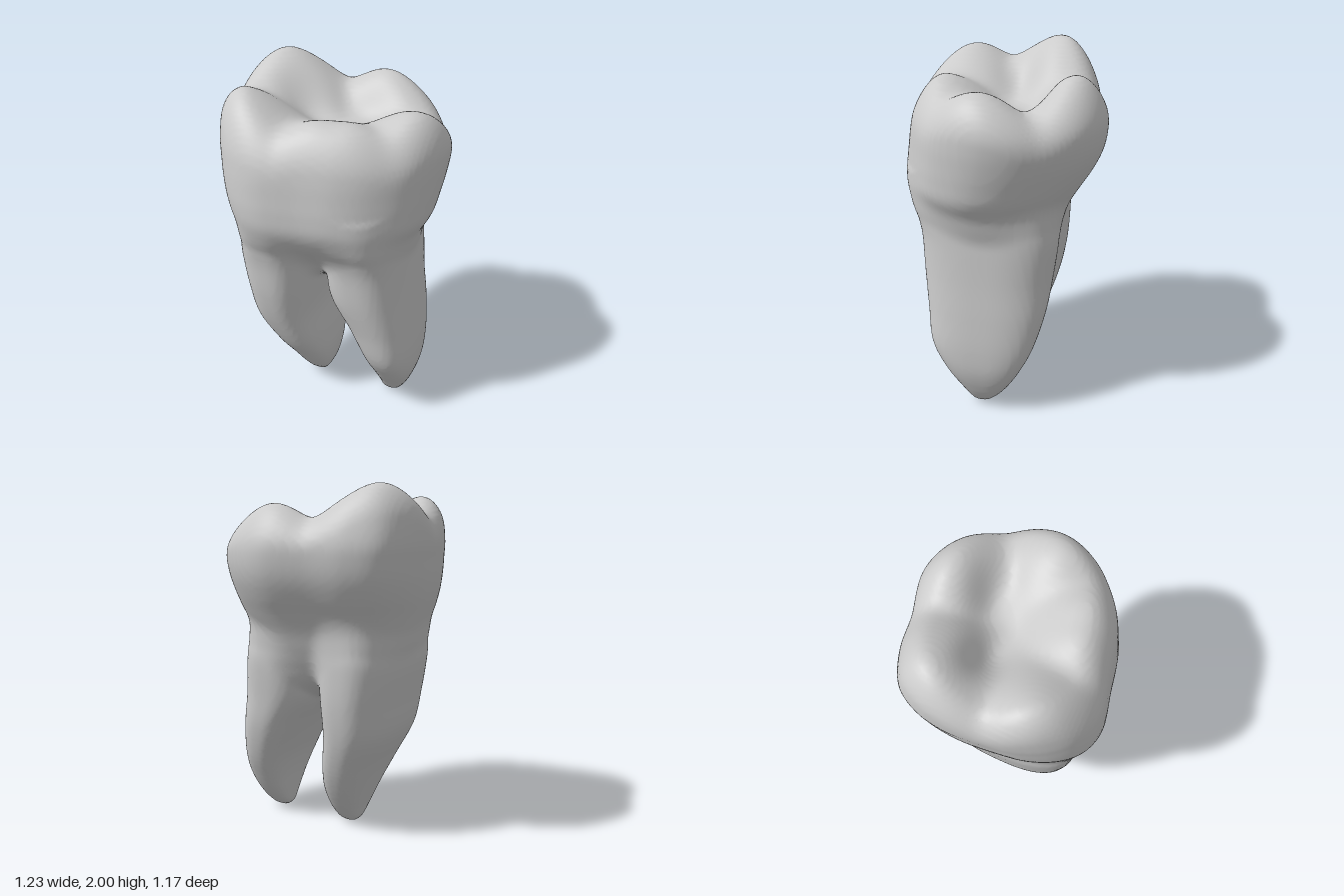
import * as THREE from 'three';

const { lerp, clamp } = THREE.MathUtils;

// Catmull-Rom interpolation between rows of numbers
function smoothRows(rows, steps) {
  const out = [];
  const at = (i) => rows[clamp(i, 0, rows.length - 1)];
  for (let k = 0; k <= (rows.length - 1) * steps; k++) {
    const i = Math.floor(k / steps), t = k / steps - i;
    out.push(at(i).map((p1, c) => {
      const p0 = at(i - 1)[c], p2 = at(i + 1)[c], p3 = at(i + 2)[c];
      return p1 + 0.5 * t * (p2 - p0 + t * (2 * p0 - 5 * p1 + 4 * p2 - p3 + t * (3 * (p1 - p2) + p3 - p0)));
    }));
  }
  return out;
}

// Rounded union and intersection of two distances
function smoothMin(a, b, k) {
  const h = Math.max(k - Math.abs(a - b), 0) / k;
  return Math.min(a, b) - (h * h * k) / 4;
}
const smoothMax = (a, b, k) => -smoothMin(-a, -b, k);

// Distance to a body stacked from rows [y, xMin, xMax, zMin, zMax];
// size(x, z) is 1 on the normalised outline of every row
function stackedBody(rows, size) {
  const fine = smoothRows(rows, 6), last = fine.length - 1;
  return (x, y, z) => {
    let i = 0;
    while (i < last - 1 && fine[i + 1][0] < y) i++;
    const a = fine[i], b = fine[i + 1];
    const t = clamp((y - a[0]) / (b[0] - a[0]), 0, 1);
    const [x0, x1, z0, z1] = [1, 2, 3, 4].map((c) => lerp(a[c], b[c], t));
    const dx = x - (x0 + x1) / 2, dz = z - (z0 + z1) / 2;
    const n = size(dx / Math.max((x1 - x0) / 2, 1e-3), dz / Math.max((z1 - z0) / 2, 1e-3));
    const side = Math.hypot(dx, dz) * (1 - 1 / Math.max(n, 0.05));
    return Math.max(side, fine[0][0] - y, y - fine[last][0]);
  };
}

// Root section: rounded oblong, hollowed on the side facing the other root
const rootSize = (inner) => (x, z) =>
  (Math.abs(x) ** 2.6 + Math.abs(z) ** 2.6) ** (1 / 2.6)
  + 0.08 * clamp(x * inner, 0, 1) ** 2 * Math.max(0, 1 - z * z * 1.6);

// Crown section: radius by angle from a smooth closed outline
function crownSize() {
  const points = [
    [0.61, 0], [0.58, 0.15], [0.5, 0.3], [0.35, 0.43], [0.2, 0.5], [0, 0.54], [-0.25, 0.58],
    [-0.4, 0.53], [-0.5, 0.43], [-0.57, 0.28], [-0.6, 0.1], [-0.61, -0.1], [-0.58, -0.27],
    [-0.5, -0.41], [-0.35, -0.49], [-0.15, -0.53], [0.1, -0.59], [0.25, -0.56], [0.4, -0.47],
    [0.52, -0.32], [0.59, -0.17],
  ].map(([x, z]) => new THREE.Vector3(x / 0.61, 0, z / 0.585));
  const N = 180, radii = new Array(N).fill(1);
  const turn = (x, z) => ((Math.atan2(z, x) / (2 * Math.PI) + 1) % 1) * N;
  for (const p of new THREE.CatmullRomCurve3(points, true).getPoints(3000)) {
    radii[Math.round(turn(p.x, p.z)) % N] = Math.hypot(p.x, p.z);
  }
  return (x, z) => {
    const a = turn(x, z), i = Math.floor(a) % N;
    return Math.hypot(x, z) / lerp(radii[i], radii[(i + 1) % N], a - Math.floor(a));
  };
}

// Chewing surface: cusps with grooves between them and two central pits
const CUSPS = [
  [-0.46, 2.005, -0.27], [-0.44, 1.94, 0.28], [0.03, 1.845, 0.33], [0.19, 1.84, 0.28],
  [0.43, 1.86, 0.04], [0.12, 1.9, -0.42],
];
const PITS = [[-0.2, -0.06], [0.1, -0.19]];
function chewingHeight(x, z) {
  const k = 30;
  let sum = 0, pit = 0;
  for (const [cx, cy, cz] of CUSPS) {
    const d = Math.hypot(x - cx, z - cz, 0.15) - 0.15;
    sum += Math.exp(k * (cy - 0.8 * d - 1.8));
  }
  for (const [px, pz] of PITS) pit += 0.1 * Math.exp(-((x - px) ** 2 / 0.03 + (z - pz) ** 2 / 0.012));
  return 1.8 + Math.log(sum) / k - pit;
}

const crownSides = stackedBody([
  [0.77, 0.02, 0.04, -0.02, 0.02],
  [0.82, -0.06, 0.1, -0.14, 0.13],
  [0.9, -0.2, 0.24, -0.26, 0.25],
  [1.0, -0.36, 0.38, -0.32, 0.34],
  [1.1, -0.455, 0.47, -0.365, 0.44],
  [1.2, -0.495, 0.515, -0.405, 0.53],
  [1.3, -0.53, 0.565, -0.46, 0.575],
  [1.4, -0.565, 0.585, -0.52, 0.58],
  [1.5, -0.59, 0.6, -0.565, 0.57],
  [1.6, -0.605, 0.61, -0.585, 0.555],
  [1.7, -0.617, 0.607, -0.58, 0.53],
  [1.85, -0.61, 0.575, -0.53, 0.475],
  [2.0, -0.57, 0.52, -0.47, 0.42],
  [2.2, -0.5, 0.45, -0.4, 0.35],
], crownSize());

const rightRoot = stackedBody([
  [0.0, -0.12, -0.08, 0.02, 0.06],
  [0.03, -0.16, -0.03, -0.03, 0.11],
  [0.12, -0.195, 0.01, -0.1, 0.185],
  [0.25, -0.245, 0.025, -0.18, 0.27],
  [0.4, -0.31, 0.01, -0.25, 0.36],
  [0.6, -0.405, -0.02, -0.315, 0.435],
  [0.8, -0.44, -0.015, -0.35, 0.475],
  [1.0, -0.47, 0.0, -0.36, 0.49],
  [1.1, -0.465, 0.0, -0.355, 0.505],
  [1.2, -0.45, -0.01, -0.34, 0.52],
  [1.35, -0.4, -0.03, -0.3, 0.5],
], rootSize(1));

const leftRoot = stackedBody([
  [0.0, 0.375, 0.415, 0.02, 0.06],
  [0.03, 0.335, 0.46, -0.04, 0.09],
  [0.12, 0.315, 0.51, -0.12, 0.15],
  [0.25, 0.292, 0.547, -0.2, 0.24],
  [0.4, 0.245, 0.55, -0.27, 0.32],
  [0.6, 0.145, 0.53, -0.325, 0.35],
  [0.8, 0.035, 0.505, -0.35, 0.38],
  [1.0, 0.015, 0.485, -0.37, 0.395],
  [1.1, 0.01, 0.475, -0.365, 0.415],
  [1.2, 0.02, 0.46, -0.35, 0.445],
  [1.35, 0.04, 0.42, -0.3, 0.44],
], rootSize(-1));

// The whole tooth: crown and roots melted together
function tooth(x, y, z) {
  const crown = smoothMax(crownSides(x, y, z), (y - chewingHeight(x, z)) * 0.8, 0.12);
  const roots = smoothMin(rightRoot(x, y, z), leftRoot(x, y, z), 0.04);
  return smoothMin(crown, roots, 0.08);
}

// Slide a point along the slope of the field onto its surface
function settle(field, p, reach) {
  const e = 0.004, value = field(...p);
  const slope = p.map((_, a) => (field(...p.map((n, b) => n + (a === b ? e : 0))) - value) / e);
  const length = Math.max(Math.hypot(...slope), 0.3);
  return p.map((n, a) => n - (clamp(value / length, -reach, reach) * slope[a]) / length);
}

// Surface net: one vertex per crossed cell, one quad per crossed grid edge
function surfaceNet(field, min, count, step) {
  const strides = [1, count[0], count[0] * count[1]];
  const values = new Float32Array(count[0] * count[1] * count[2]);
  const cellVertex = new Int32Array(values.length), positions = [], quads = [];
  const eachCell = (margin, visit) => {
    for (let k = 0; k < count[2] - margin; k++)
      for (let j = 0; j < count[1] - margin; j++)
        for (let i = 0; i < count[0] - margin; i++) visit([i, j, k], i + j * strides[1] + k * strides[2]);
  };
  eachCell(0, (c, id) => { values[id] = field(...c.map((n, a) => min[a] + n * step)); });
  eachCell(1, (c, id) => {
    const sum = [0, 0, 0];
    let hits = 0;
    for (let corner = 0; corner < 8; corner++) {
      const bits = [corner & 1, (corner >> 1) & 1, corner >> 2];
      const from = id + bits[0] + bits[1] * strides[1] + bits[2] * strides[2];
      for (let a = 0; a < 3; a++) {
        const v = values[from], w = values[from + strides[a]];
        if (bits[a] || v < 0 === w < 0) continue;
        bits.forEach((b, n) => { sum[n] += b + (n === a ? v / (v - w) : 0); });
        hits++;
      }
    }
    if (!hits) return;
    cellVertex[id] = positions.length / 3;
    positions.push(...settle(field, c.map((n, a) => min[a] + (n + sum[a] / hits) * step), step / 2));
  });
  eachCell(1, (c, id) => {
    for (let a = 0; a < 3; a++) {
      const inside = values[id] < 0;
      if (inside === values[id + strides[a]] < 0) continue;
      const sb = strides[(a + 1) % 3], sc = strides[(a + 2) % 3];
      const quad = [id, id - sb, id - sb - sc, id - sc].map((n) => cellVertex[n]);
      quads.push(inside ? quad : quad.reverse());
    }
  });
  return { positions, quads };
}

export function createModel() {
  const { positions, quads } = surfaceNet(tooth, [-0.69, -0.05, -0.68], [67, 103, 66], 0.021);
  const triangles = ([a, b, c, d]) => [a, b, c, a, c, d];
  const whole = new THREE.BufferGeometry();
  whole.setAttribute('position', new THREE.Float32BufferAttribute(positions, 3));
  whole.setIndex(quads.flatMap(triangles));
  whole.computeVertexNormals();

  // Split at the neck and between the roots; shared normals keep the seams smooth
  const parts = { crown: [], rightRoot: [], leftRoot: [] };
  for (const quad of quads) {
    const x = positions[quad[0] * 3], y = positions[quad[0] * 3 + 1];
    const name = y > 1.15 ? 'crown' : x < 0.03 ? 'rightRoot' : 'leftRoot';
    parts[name].push(...triangles(quad));
  }
  const group = new THREE.Group();
  const material = new THREE.MeshStandardMaterial({ color: 0xcccccc });
  for (const [name, index] of Object.entries(parts)) {
    const mesh = new THREE.Mesh(whole.clone().setIndex(index), material);
    mesh.name = name;
    group.add(mesh);
  }
  return group;
}
